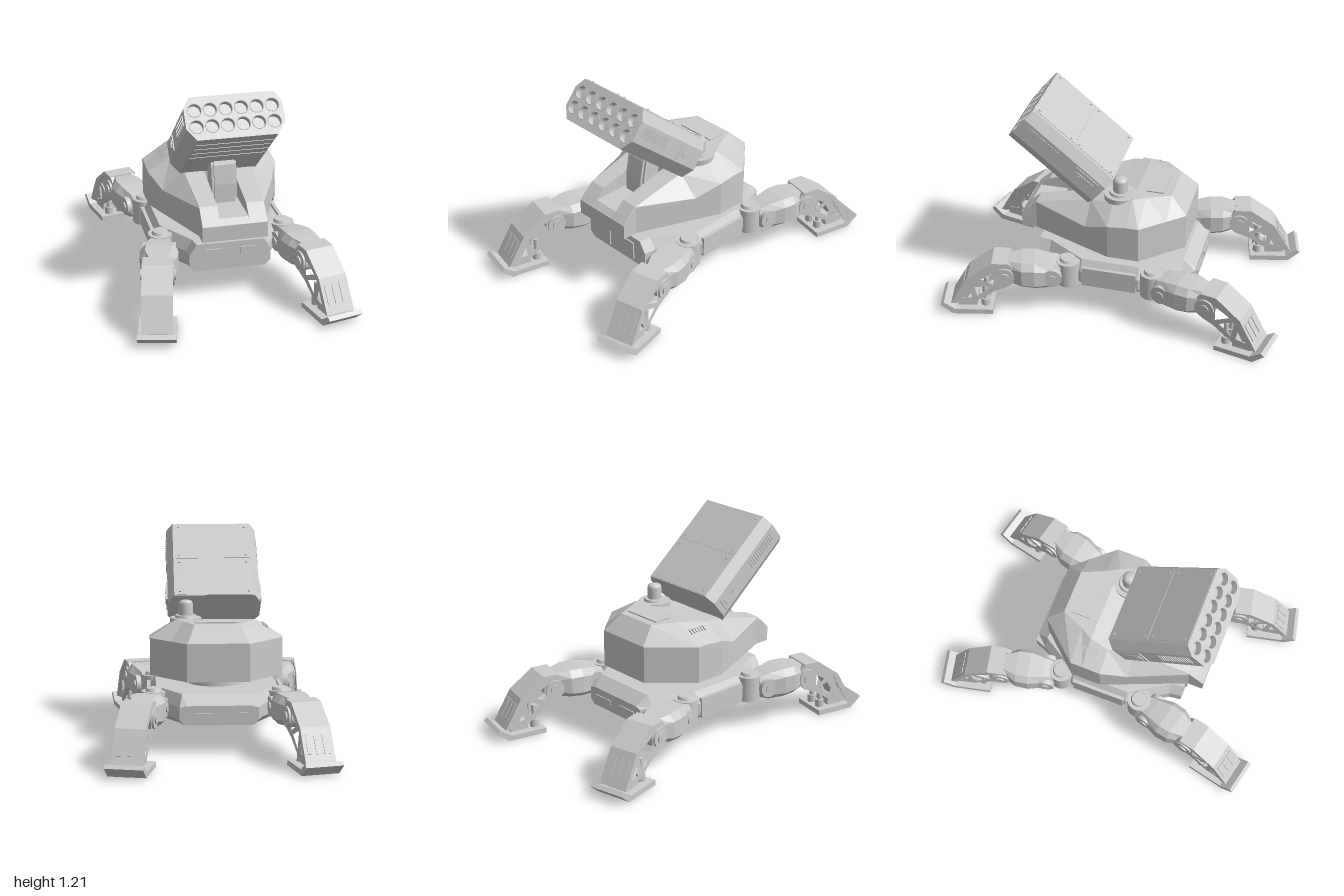
import * as THREE from 'three';

const flat = new THREE.MeshStandardMaterial({ color: 0xcccccc, flatShading: true });
const smooth = new THREE.MeshStandardMaterial({ color: 0xcccccc });

function add(parent, name, geo, x = 0, y = 0, z = 0, mat = flat) {
  const m = new THREE.Mesh(geo, mat);
  m.name = name;
  m.position.set(x, y, z);
  parent.add(m);
  return m;
}
const box = (p, name, w, h, d, x, y, z) => add(p, name, new THREE.BoxGeometry(w, h, d), x, y, z);
const disc = (p, name, r, h, x, y, z, r2 = r) =>
  add(p, name, new THREE.CylinderGeometry(r2, r, h, 28), x, y, z, smooth);

// Skin mirrored half sections (right half, bottom to top) along z, with capped ends.
function loft(stations) {
  const rings = stations.map(({ z, half }) => [
    ...half.map(([x, y]) => [x, y, z]),
    ...half.slice().reverse().map(([x, y]) => [-x, y, z]),
  ]);
  const pos = [], n = rings[0].length;
  const tri = (...pts) => pts.forEach((p) => pos.push(...p));
  for (let k = 0; k < rings.length - 1; k++) {
    const a = rings[k], b = rings[k + 1];
    for (let i = 0; i < n; i++) {
      const j = (i + 1) % n;
      tri(a[i], a[j], b[j]);
      tri(a[i], b[j], b[i]);
    }
  }
  const first = rings[0], last = rings[rings.length - 1];
  for (let i = 1; i < n - 1; i++) {
    tri(first[0], first[i + 1], first[i]);
    tri(last[0], last[i], last[i + 1]);
  }
  const g = new THREE.BufferGeometry();
  g.setAttribute('position', new THREE.Float32BufferAttribute(pos, 3));
  g.computeVertexNormals();
  return g;
}

const toShape = (pts) => new THREE.Shape(pts.map(([x, y]) => new THREE.Vector2(x, y)));

// Side profile given as (z, y), extruded across x.
function sideProfile(pts, width, holes = []) {
  const s = toShape(pts);
  s.holes = holes.map(toShape);
  return new THREE.ExtrudeGeometry(s, { depth: width, bevelEnabled: false })
    .translate(0, 0, -width / 2).rotateY(-Math.PI / 2);
}

function buildHull() {
  const g = new THREE.Group();
  g.name = 'lowerHull';
  const plan = [[-0.47, 0.22, 0.28], [-0.4, 0.245, 0.335], [-0.17, 0.387, 0.335],
    [0.17, 0.387, 0.335], [0.4, 0.245, 0.335], [0.47, 0.235, 0.335]];
  add(g, 'hullBody', loft(plan.map(([z, w, top]) => ({
    z, half: [[w - 0.03, 0.17], [w, 0.2], [w, 0.27], [w - 0.04, top]],
  }))));
  for (const s of [-1, 1]) {
    box(g, 'hullSidePanel', 0.02, 0.12, 0.32, s * 0.387, 0.245, 0);
    box(g, 'rearSlot', 0.13, 0.03, 0.012, s * 0.1, 0.225, -0.47);
    box(g, 'frontPanel', 0.09, 0.11, 0.016, s * 0.1, 0.245, 0.47);
  }
  disc(g, 'turretRing', 0.165, 0.07, 0, 0.365, -0.04);
  disc(g, 'turretRingFlange', 0.182, 0.03, 0, 0.372, -0.04);
  return g;
}

function buildTurret() {
  const g = new THREE.Group();
  g.name = 'turret';
  // z, side half width, crease height, roof half width, roof height, trough floor
  const rows = [
    [-0.4, 0.175, 0.615, 0.17, 0.617], [-0.305, 0.26, 0.615, 0.13, 0.71],
    [-0.17, 0.38, 0.615, 0.19, 0.71], [-0.1, 0.38, 0.615, 0.23, 0.71],
    [0.01, 0.38, 0.605, 0.25, 0.685], [0.155, 0.322, 0.545, 0.2, 0.655],
    [0.16, 0.32, 0.545, 0.2, 0.654, 0.52], [0.49, 0.186, 0.57, 0.184, 0.575, 0.52],
    [0.545, 0.186, 0.522, 0.184, 0.525, 0.52], [0.58, 0.186, 0.487, 0.184, 0.49],
  ];
  add(g, 'turretShell', loft(rows.map(([z, xs, yc, xr, yr, trough = yr]) => ({
    z, half: [[xs, 0.4], [xs, yc], [xr, yr], [0.083, yr], [0.083, trough]],
  }))));
  box(g, 'noseSeam', 0.366, 0.006, 0.008, 0, 0.488, 0.578);
  box(g, 'roofHatch', 0.245, 0.012, 0.105, 0.002, 0.711, -0.207);
  // Sensor mast
  disc(g, 'sensorBase', 0.092, 0.04, 0.17, 0.69, -0.015);
  disc(g, 'sensorCollar', 0.066, 0.02, 0.17, 0.715, -0.015, 0.06);
  const cap = [[0.042, 0], [0.042, 0.085], [0.036, 0.1], [0.022, 0.106], [0, 0.108]];
  add(g, 'sensorMast', new THREE.LatheGeometry(cap.map(([x, y]) => new THREE.Vector2(x, y)), 28),
    0.17, 0.705, -0.015, smooth);
  // Vent on the right shoulder
  for (let i = 0; i < 6; i++)
    box(g, 'shoulderVent', 0.034, 0.008, 0.008, -0.285, 0.675, -0.145 + i * 0.02).rotation.z = 0.55;
  // Launcher arm rising out of the trough
  add(g, 'launcherArm', sideProfile(
    [[0.21, 0.51], [0.34, 0.51], [0.335, 0.63], [0.315, 0.74], [0.29, 0.79], [0.19, 0.75]], 0.12));
  add(g, 'launcherArmCore', sideProfile(
    [[0.22, 0.54], [0.325, 0.54], [0.32, 0.63], [0.3, 0.74], [0.27, 0.76], [0.2, 0.73]], 0.144));
  return g;
}

function buildLauncher() {
  const g = new THREE.Group();
  g.name = 'rocketLauncher';
  g.position.set(0, 0.93, 0.317);
  g.rotation.x = -0.692;
  const outline = [[-0.222, -0.122], [0.222, -0.122], [0.272, -0.055], [0.272, 0.062],
    [0.235, 0.122], [-0.235, 0.122], [-0.272, 0.062], [-0.272, -0.055]];
  const extrude = (s, depth) => new THREE.ExtrudeGeometry(s, { depth, bevelEnabled: false, curveSegments: 14 });
  add(g, 'launcherBody', extrude(toShape(outline), 0.555), 0, 0, -0.297);
  const face = toShape(outline);
  // Tube mouths: two rows of six
  for (let c = 0; c < 6; c++) for (const r of [-1, 1]) {
    const x = (c - 2.5) * 0.0855, y = r * 0.046;
    face.holes.push(new THREE.Path().absarc(x, y, 0.037, 0, Math.PI * 2, true));
    add(g, 'tubeRim', new THREE.TorusGeometry(0.0375, 0.003, 6, 28), x, y, 0.296, smooth);
  }
  add(g, 'tubeFace', extrude(face, 0.04), 0, 0, 0.257);
  // Top covers and their bolts
  for (const s of [-1, 1]) {
    box(g, 'topCover', 0.44, 0.008, 0.288, 0, 0.121, s * 0.148);
    for (const x of [-0.2, 0.2]) for (const z of [0.03, 0.265])
      disc(g, 'coverBolt', 0.007, 0.008, x, 0.127, s * z);
    // Side louvres and access hatch
    for (let i = 0; i < 13; i++)
      box(g, 'sideLouvre', 0.01, 0.058, 0.009, s * 0.272, 0.012, 0.035 + i * 0.0175);
    box(g, 'hatchFrame', 0.012, 0.095, 0.16, s * 0.272, 0.003, -0.18);
    box(g, 'hatchPanel', 0.022, 0.05, 0.12, s * 0.272, 0.003, -0.18);
    disc(g, 'hatchLatch', 0.018, 0.028, s * 0.272, 0.003, -0.15).rotation.z = Math.PI / 2;
  }
  // Ribs on the underside
  for (let i = 0; i < 4; i++) box(g, 'undersideRib', 0.43, 0.006, 0.014, 0, -0.122, -0.02 + i * 0.075);
  return g;
}

// A leg runs along its own +z from the hip.
function buildLeg(name) {
  const g = new THREE.Group();
  g.name = name;
  const axle = (n, r, w, y, z) => { disc(g, n, r, w, 0, y, z).rotation.z = Math.PI / 2; };
  // Hip
  disc(g, 'hipTurntable', 0.07, 0.15, 0, 0.25, 0);
  disc(g, 'hipCap', 0.05, 0.02, 0, 0.332, 0, 0.042);
  box(g, 'hipBlock', 0.1, 0.14, 0.12, 0, 0.25, 0.05);
  axle('hipAxle', 0.056, 0.185, 0.25, 0.09);
  axle('hipAxleCap', 0.025, 0.2, 0.25, 0.09);
  // Thigh: flared in plan
  const thigh = [[0.04, 0.07, 0.19, 0.315], [0.1, 0.085, 0.17, 0.33], [0.19, 0.108, 0.172, 0.345],
    [0.265, 0.105, 0.18, 0.345], [0.36, 0.058, 0.195, 0.335], [0.4, 0.05, 0.215, 0.3]];
  add(g, 'thigh', loft(thigh.map(([z, w, lo, hi]) => ({
    z, half: [[w * 0.7, lo], [w, lo + 0.03], [w, hi - 0.04], [w * 0.7, hi]],
  }))));
  // Knee
  axle('kneeAxle', 0.058, 0.18, 0.25, 0.365);
  axle('kneeCap', 0.03, 0.196, 0.25, 0.365);
  // Shin: cut-out side plates under a folded cover
  const plate = [[0.31, 0.21], [0.31, 0.3], [0.34, 0.34], [0.43, 0.33], [0.57, 0.23], [0.67, 0.06],
    [0.54, 0.07], [0.42, 0.15], [0.35, 0.178]];
  const holes = [[[0.43, 0.28], [0.52, 0.235], [0.43, 0.19]], [[0.455, 0.17], [0.55, 0.215], [0.53, 0.11]],
    [[0.56, 0.1], [0.575, 0.18], [0.62, 0.09]]];
  for (const s of [-1, 1]) add(g, 'shinSidePlate', sideProfile(plate, 0.022, holes), s * 0.067);
  add(g, 'shinCover', sideProfile([[0.34, 0.325], [0.425, 0.318], [0.555, 0.222], [0.65, 0.06],
    [0.685, 0.06], [0.582, 0.238], [0.436, 0.344], [0.34, 0.344]], 0.17));
  add(g, 'shinSpine', sideProfile([[0.42, 0.3], [0.555, 0.222], [0.65, 0.06], [0.6, 0.06], [0.52, 0.2],
    [0.42, 0.26]], 0.1));
  for (const s of [-1, 0, 1])
    add(g, 'shinPanel', sideProfile([[0.6, 0.2], [0.607, 0.204], [0.662, 0.109], [0.655, 0.105]], 0.036), s * 0.046);
  // Ankle pistons
  for (const s of [-1, 1]) {
    disc(g, 'ankleCollar', 0.026, 0.05, s * 0.04, 0.05, 0.487);
    disc(g, 'anklePiston', 0.015, 0.13, s * 0.04, 0.1, 0.487);
  }
  box(g, 'ankleBlock', 0.12, 0.05, 0.11, 0, 0.05, 0.59);
  // Foot with an upturned toe
  add(g, 'foot', sideProfile([[0.44, 0], [0.675, 0], [0.745, 0.06], [0.725, 0.078], [0.66, 0.032],
    [0.44, 0.03]], 0.21));
  return g;
}

export function createModel() {
  const model = new THREE.Group();
  model.name = 'walkingRocketTurret';
  model.add(buildHull(), buildTurret(), buildLauncher());
  for (const [sx, side] of [[1, 'Left'], [-1, 'Right']]) for (const [sz, end] of [[1, 'front'], [-1, 'rear']]) {
    const leg = buildLeg(`${end}${side}Leg`);
    leg.position.set(sx * 0.36, 0, sz * 0.25);
    leg.rotation.y = Math.atan2(sx * 0.222, sz * 0.975);
    model.add(leg);
  }
  return model;
}
